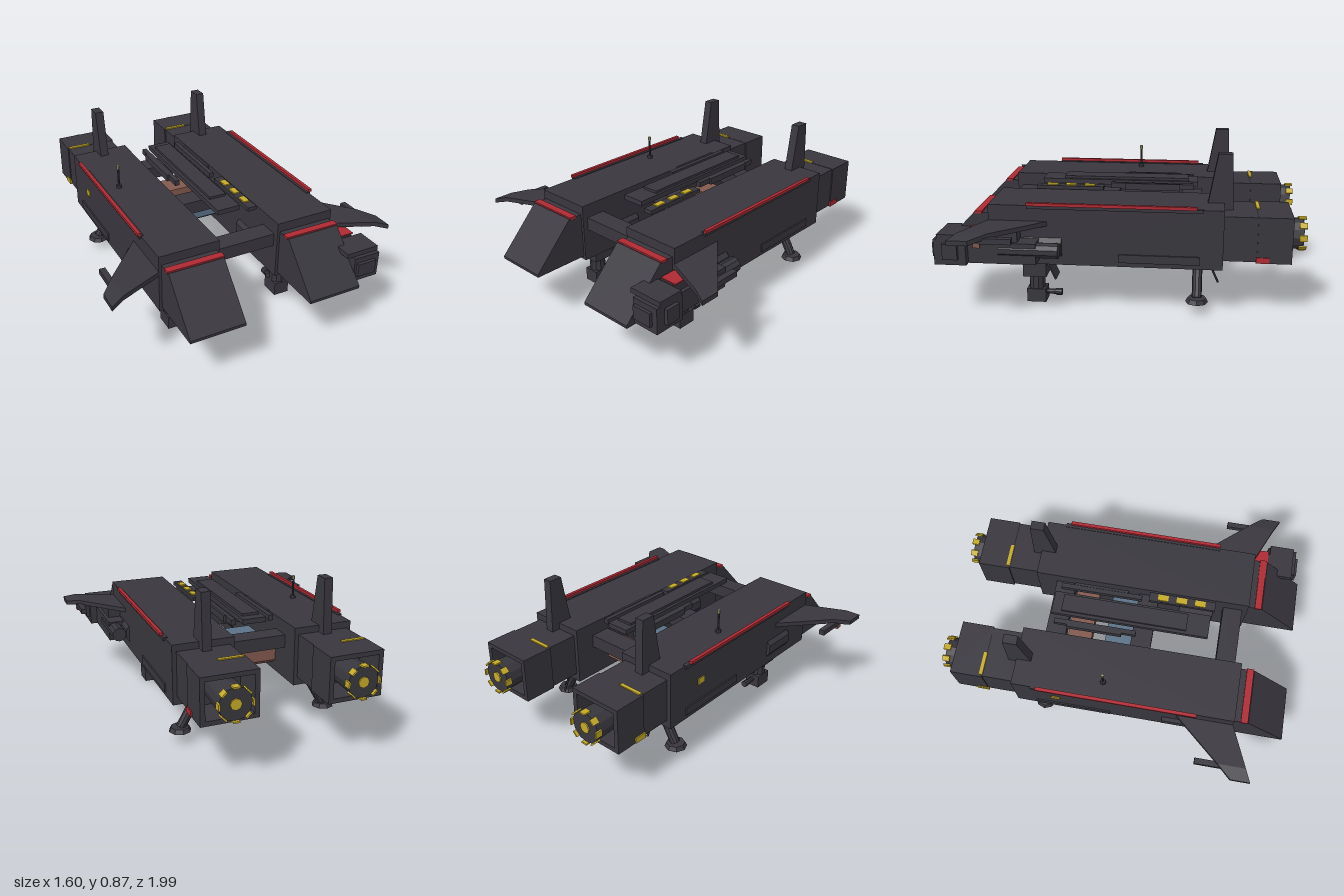
import * as THREE from 'three';

const mat = (name, color) => {
  const m = new THREE.MeshStandardMaterial({ color });
  m.name = name;
  return m;
};

export function createModel() {
  const dark = mat('charcoal', 0x39373e);
  const red = mat('red', 0xb02a34);
  const yellow = mat('yellow', 0xc6ac27);
  const blue = mat('steel blue', 0x5b7287);
  const brown = mat('rust brown', 0x83594f);
  const cream = mat('cream', 0xa8a078);

  const root = new THREE.Group();
  let target = root;
  const add = (name, geo, m) => {
    const mesh = new THREE.Mesh(geo, m);
    mesh.name = name;
    target.add(mesh);
    return mesh;
  };
  // Box given by its limits on each axis
  const box = (name, m, x0, x1, y0, y1, z0, z1) => {
    const g = new THREE.BoxGeometry(Math.abs(x1 - x0), y1 - y0, z1 - z0);
    g.translate((x0 + x1) / 2, (y0 + y1) / 2, (z0 + z1) / 2);
    return add(name, g, m);
  };
  const shapeOf = pts => new THREE.Shape(pts.map(p => new THREE.Vector2(p[0], p[1])));
  // Side profile of [z, y] points, extruded across x
  const profile = (name, m, pts, x0, x1) => {
    const width = Math.abs(x1 - x0);
    const g = new THREE.ExtrudeGeometry(shapeOf(pts), { depth: width, bevelEnabled: false });
    g.rotateY(-Math.PI / 2).translate(Math.max(x0, x1), 0, 0);
    return add(name, g, m);
  };
  // Faceted round bar between two points
  const bar = (name, m, a, b, r0, r1 = r0, sides = 10) => {
    const from = new THREE.Vector3(...a), to = new THREE.Vector3(...b);
    const dir = to.clone().sub(from);
    const g = new THREE.CylinderGeometry(r1, r0, dir.length(), sides).toNonIndexed();
    g.computeVertexNormals();
    const mesh = add(name, g, m);
    mesh.position.copy(from).add(to).multiplyScalar(0.5);
    mesh.quaternion.setFromUnitVectors(new THREE.Vector3(0, 1, 0), dir.normalize());
    return mesh;
  };

  for (const s of [1, -1]) {
    target = new THREE.Group();
    target.name = s > 0 ? 'leftHull' : 'rightHull';
    root.add(target);
    const cx = 0.337 * s;

    // Hull, wedge nose and red bands
    box('hullBody', dark, 0.172 * s, 0.505 * s, 0.28, 0.605, -0.55, 0.69);
    profile('nose', dark, [[0.68, 0.3], [1, 0.3], [1, 0.315], [0.77, 0.555], [0.68, 0.555]], 0.187 * s, 0.49 * s);
    box('noseBand', red, 0.183 * s, 0.494 * s, 0.55, 0.563, 0.727, 0.766);
    box('sideRail', red, 0.505 * s, 0.524 * s, 0.608, 0.624, -0.41, 0.48);
    box('sideRailMount', dark, 0.49 * s, 0.515 * s, 0.59, 0.609, -0.44, 0.48);
    box('sideSkirt', dark, 0.5 * s, 0.513 * s, 0.305, 0.35, -0.43, 0);

    // Bevelled bulges on the inner and outer walls
    for (const [x, d] of [[0.172, -1], [0.505, 1]]) {
      const pts = [[0, 0.33], [0.018 * d, 0.355], [0.018 * d, 0.405], [0, 0.43]]
        .map(([dx, y]) => [(x + dx) * s, y]);
      const g = new THREE.ExtrudeGeometry(shapeOf(pts), { depth: 0.2, bevelEnabled: false });
      add('wallBulge', g.translate(0, 0, 0.3), dark);
    }

    // Tail fin
    profile('tailFin', dark, [[-0.465, 0.6], [-0.512, 0.87], [-0.588, 0.87], [-0.6, 0.56], [-0.5, 0.56]], 0.313 * s, 0.362 * s);

    // Open engine housing and nozzle
    box('engineNeck', dark, 0.194 * s, 0.482 * s, 0.325, 0.568, -0.73, -0.55);
    const tube = shapeOf([[-0.151, -0.125], [0.151, -0.125], [0.151, 0.125], [-0.151, 0.125]]);
    tube.holes.push(new THREE.Path([[-0.125, -0.1], [-0.125, 0.1], [0.125, 0.1], [0.125, -0.1]]
      .map(p => new THREE.Vector2(...p))));
    const housing = new THREE.ExtrudeGeometry(tube, { depth: 0.18, bevelEnabled: false });
    add('engineHousing', housing.translate(cx, 0.445, -0.905), dark);
    bar('nozzle', dark, [cx, 0.443, -0.72], [cx, 0.443, -0.97], 0.075, 0.086, 12);
    bar('nozzleCore', yellow, [cx, 0.443, -0.968], [cx, 0.443, -0.977], 0.03, 0.03, 8);
    for (let i = 0; i < 8; i++) {
      const g = new THREE.BoxGeometry(0.034, 0.009, 0.04).translate(0, 0.086, 0);
      g.rotateZ(i * Math.PI / 4);
      add('nozzleTab', g.translate(cx, 0.443, -0.966), yellow);
    }
    const stripe = s > 0 ? [0.2, 0.333] : [-0.475, -0.345];
    box('housingStripe', yellow, ...stripe, 0.565, 0.576, -0.742, -0.722);
    box('housingSidePlate', s > 0 ? red : yellow, 0.484 * s, 0.494 * s, 0.322, 0.353, -0.79, -0.72);

    // Forward-swept wing with drooped tip
    const wing = (name, pts) => {
      const g = new THREE.ExtrudeGeometry(shapeOf(pts.map(([x, z]) => [x * s, z])), { depth: 0.025, bevelEnabled: false });
      g.rotateX(Math.PI / 2).translate(0, 0.52, 0);
      const p = g.attributes.position;
      for (let i = 0; i < p.count; i++) {
        p.setY(i, p.getY(i) - Math.max(0, Math.abs(p.getX(i)) - 0.73) * 0.25);
      }
      g.computeVertexNormals();
      add(name, g, dark);
    };
    wing('wing', [[0.5, 0.37], [0.73, 0.635], [0.73, 0.79], [0.5, 0.69]]);
    wing('wingTip', [[0.73, 0.635], [0.8, 0.715], [0.8, 0.823], [0.73, 0.79]]);
    box('wingGun', dark, 0.714 * s, 0.746 * s, 0.47, 0.5, 0.51, 0.69);
    box('wingGunMuzzle', brown, 0.715 * s, 0.745 * s, 0.448, 0.485, 0.67, 0.705);

    // Front landing leg
    box('frontLegHousing', dark, 0.272 * s, 0.405 * s, 0.162, 0.285, 0.41, 0.54);
    bar('frontLegStrut', dark, [0.337 * s, 0.17, 0.475], [0.337 * s, 0.06, 0.475], 0.045);
    box('frontLegFoot', dark, 0.292 * s, 0.383 * s, 0.003, 0.08, 0.42, 0.527);
    bar('frontLegAxle', dark, [0.337 * s, 0.05, 0.42], [0.337 * s, 0.05, 0.36], 0.015);
    bar('frontLegHub', dark, [0.337 * s, 0.05, 0.37], [0.337 * s, 0.05, 0.335], 0.02);
    const door = box('frontLegDoor', dark, 0.285 * s, 0.39 * s, -0.06, 0.06, -0.004, 0.004);
    door.position.set(0, 0.2, 0.385);
    door.rotation.x = 0.42;

    // Rear landing leg, splayed outward
    box('rearLegMount', dark, 0.28 * s, 0.395 * s, 0.26, 0.285, -0.49, -0.36);
    bar('rearLeg', dark, [0.32 * s, 0.27, -0.42], [0.425 * s, 0.085, -0.42], 0.027);
    bar('rearFoot', dark, [0.43 * s, 0.065, -0.42], [0.43 * s, 0.088, -0.42], 0.062, 0.05, 8);
    bar('rearLegBrace', dark, [0.33 * s, 0.26, -0.48], [0.33 * s, 0.14, -0.535], 0.006, 0.006, 6);
    box('rearLegClamp', yellow, 0.3 * s, 0.345 * s, 0.252, 0.261, -0.45, -0.39);
  }

  // Cross beams and coloured cargo blocks between the hulls
  target = root;
  for (const [z0, z1] of [[0.55, 0.66], [0.055, 0.172], [-0.435, -0.32]]) {
    box('crossBeam', dark, -0.18, 0.18, 0.457, 0.53, z0, z1);
  }
  for (const [name, m, z0, z1] of [['blueBlock', blue, -0.1, 0.06], ['rustBlock', brown, -0.32, -0.18]]) {
    profile(name, m, [[z0, 0.345], [z0 + 0.03, 0.32], [z1 - 0.03, 0.32], [z1, 0.345], [z1, 0.425], [z0, 0.425]], -0.175, 0.175);
  }

  // Raised spine and its side rails
  box('spine', dark, -0.068, 0.064, 0.61, 0.638, -0.41, 0.48);
  box('spineCap', dark, -0.05, 0.048, 0.638, 0.652, -0.355, 0.355);
  for (const s of [1, -1]) {
    box('spineRail', dark, 0.095 * s, 0.122 * s, 0.605, 0.635, -0.385, 0.08);
    box('spineRailPad', dark, 0.12 * s, 0.135 * s, 0.6, 0.638, -0.31, 0);
  }
  box('lampBar', dark, 0.104, 0.156, 0.598, 0.62, 0.12, 0.5);
  for (let i = 0; i < 3; i++) {
    const z = 0.2 + i * 0.106;
    box('lamp', yellow, 0.113, 0.147, 0.619, 0.627, z - 0.03, z + 0.03);
  }

  // Antenna and side marking on the right hull
  bar('antennaBase', dark, [-0.41, 0.6, -0.05], [-0.41, 0.622, -0.05], 0.018, 0.014, 8);
  bar('antennaMast', dark, [-0.41, 0.61, -0.05], [-0.41, 0.725, -0.05], 0.006, 0.006, 6);
  bar('antennaTip', cream, [-0.41, 0.72, -0.05], [-0.41, 0.74, -0.05], 0.009, 0.009, 6);
  box('sideMarking', yellow, -0.511, -0.503, 0.445, 0.48, -0.335, -0.285);

  // Gun pod on the left hull
  target = new THREE.Group();
  target.name = 'gunPod';
  root.add(target);
  box('podBody', dark, 0.485, 0.64, 0.31, 0.45, 0.78, 0.95);
  box('podRoof', dark, 0.45, 0.642, 0.45, 0.477, 0.79, 0.93);
  box('podCheek', dark, 0.64, 0.66, 0.345, 0.43, 0.82, 0.9);
  box('podFace', dark, 0.5, 0.61, 0.345, 0.42, 0.95, 0.967);
  box('podArm', dark, 0.5, 0.6, 0.31, 0.425, 0.42, 0.78);
  box('podShoulder', dark, 0.5, 0.58, 0.42, 0.48, 0.52, 0.79);
  box('podMountPlate', red, 0.5, 0.595, 0.478, 0.486, 0.68, 0.78);
  bar('podBarrel', dark, [0.565, 0.38, 0.62], [0.565, 0.38, 0.305], 0.042);
  return root;
}
